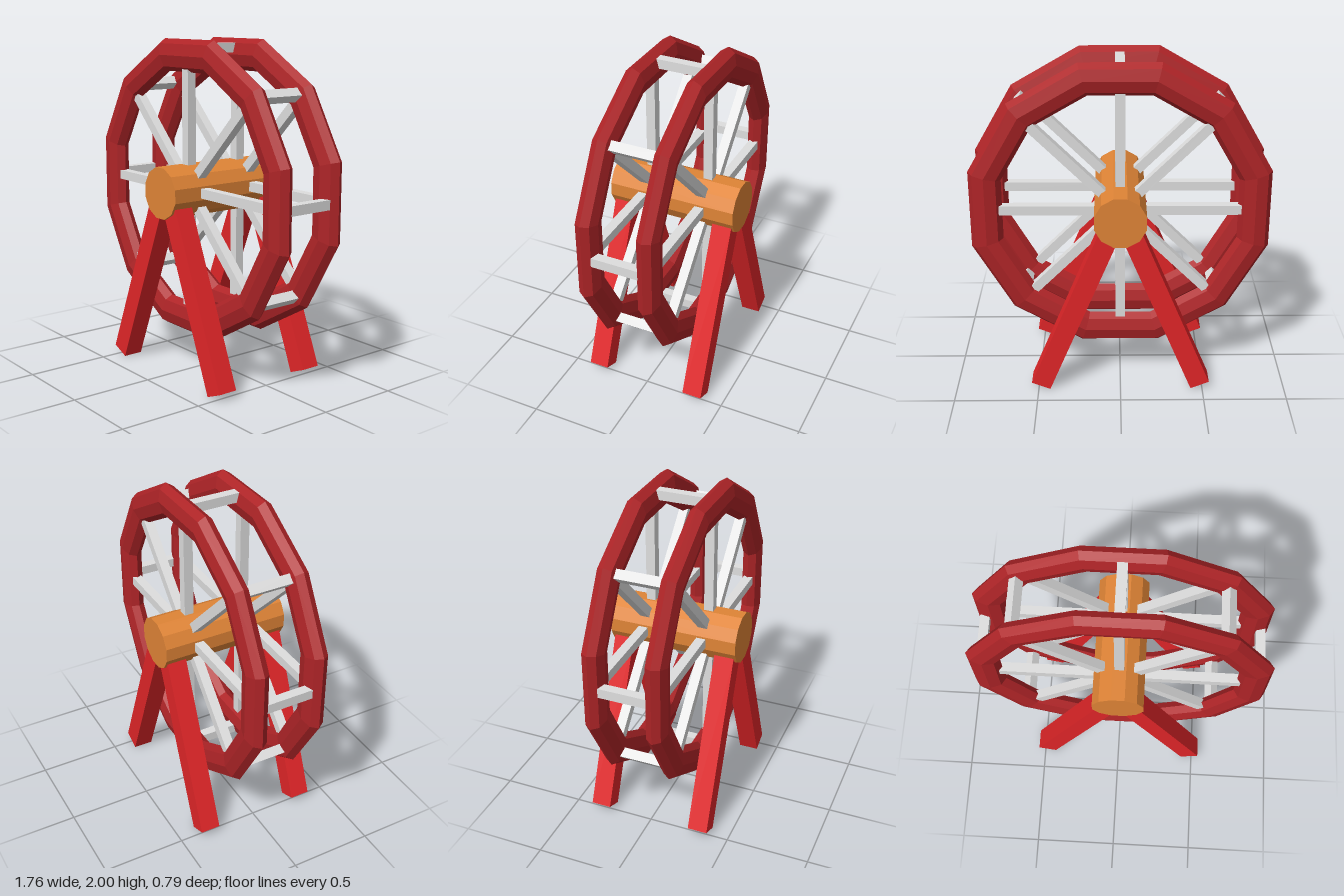
import * as THREE from 'three';

const paint = (name, color) => {
  const m = new THREE.MeshStandardMaterial({ color, flatShading: true });
  m.name = name;
  return m;
};

export function createModel() {
  const model = new THREE.Group();
  model.name = 'ferrisWheel';
  const rimRed = paint('dark red', 0xae2427);
  const legRed = paint('bright red', 0xe02528);
  const wood = paint('orange', 0xdf8436);
  const metal = paint('light grey', 0xdedede);

  const hubY = 1.12, rimZ = 0.183, bar = 0.057;
  const add = (parent, name, geometry, material) => {
    const mesh = new THREE.Mesh(geometry, material);
    mesh.name = name;
    parent.add(mesh);
    return mesh;
  };

  // Wheel, built around its own axis
  const wheel = new THREE.Group();
  wheel.name = 'wheel';
  wheel.position.y = hubY;
  model.add(wheel);

  // Twelve-sided axle with flats at top and sides
  const axle = new THREE.CylinderGeometry(0.156, 0.156, 0.79, 12);
  axle.rotateX(Math.PI / 2).rotateZ(Math.PI / 12);
  add(wheel, 'axle', axle, wood);

  // Two flattened twelve-sided rims, each with eight spokes
  const rim = new THREE.TorusGeometry(0.8127, 0.0984, 8, 12);
  rim.rotateZ(Math.PI / 12).scale(1, 1, 0.62);
  const spoke = new THREE.BoxGeometry(0.7, bar, bar).translate(0.45, 0, 0);
  for (const side of [1, -1]) {
    add(wheel, 'rim', rim, rimRed).position.z = side * rimZ;
    for (let i = 0; i < 8; i++) {
      const s = add(wheel, 'spoke', spoke, metal);
      s.position.z = side * rimZ;
      s.rotation.z = i * Math.PI / 4;
    }
  }

  // Crossbars joining the two rims
  const crossbar = new THREE.BoxGeometry(bar, bar, 2 * rimZ).translate(0.825, 0, 0);
  for (let i = 0; i < 8; i++) {
    add(wheel, 'crossbar', crossbar, metal).rotation.z = i * Math.PI / 4;
  }

  // Four splayed support legs
  const leg = new THREE.BoxGeometry(0.12, 1.077, 0.12);
  for (const x of [1, -1]) {
    for (const z of [1, -1]) {
      const l = add(model, 'leg', leg, legRed);
      l.position.set(x * 0.279, 0.521, z * 0.32);
      l.rotation.z = x * Math.PI / 8;
    }
  }
  return model;
}
